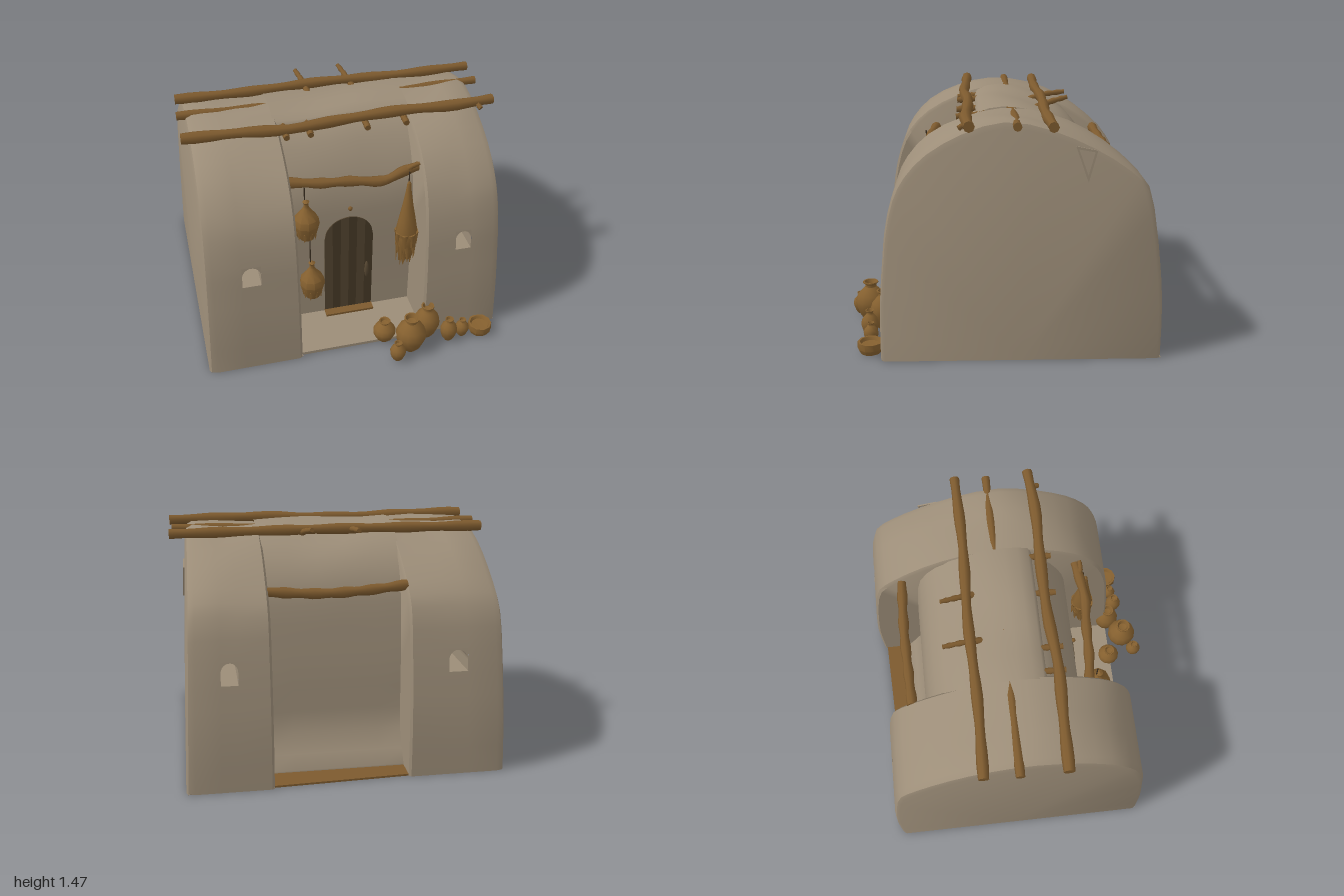
import * as THREE from 'three';
import { toCreasedNormals } from 'three/addons/utils/BufferGeometryUtils.js';

const mat = (name, color) => Object.assign(new THREE.MeshStandardMaterial({ color }), { name });
const V = (a) => new THREE.Vector3(...a);

export function createModel() {
  const root = new THREE.Group();
  const clay = mat('clay', 0x9c8d78);
  const wood = mat('wood', 0x7d5a2e);
  const pottery = mat('pottery', 0x85602f);
  const darkWood = mat('dark wood', 0x544530);
  const darkerWood = mat('darker wood', 0x463926);
  const cord = mat('cord', 0x3c3022);
  const add = (name, geo, m, pos = [0, 0, 0], parent = root) => {
    const mesh = new THREE.Mesh(geo, m);
    mesh.name = name;
    mesh.position.set(...pos);
    parent.add(mesh);
    return mesh;
  };

  // Skin from a [z, y] profile swept over x columns; each column is [x, profile scale]
  const CZ = -0.12;
  function loft(profile, cols, { flip = false, skip = () => false, lean = (x) => x } = {}) {
    const curve = new THREE.CatmullRomCurve3(profile.map(([z, y]) => new THREE.Vector3(0, y, z)), false, 'centripetal');
    const rows = (profile.length - 1) * 2;
    const pos = [], idx = [];
    for (let i = 0; i <= rows; i++) {
      const p = curve.getPoint(i / rows);
      cols.forEach(([x, s]) => {
        const bump = p.y > 1 ? 0.008 * Math.sin(x * 9 + p.z * 7) : 0;
        pos.push(lean(x, p.y * s), Math.max(0, (p.y + bump) * s), CZ + (p.z - CZ) * s);
      });
    }
    const n = cols.length;
    for (let i = 0; i < rows; i++) for (let j = 0; j < n - 1; j++) {
      if (skip(Math.floor(i / 2), j)) continue;
      const a = i * n + j, b = a + 1, d = a + n, c = d + 1;
      idx.push(...(flip ? [a, c, b, a, d, c] : [a, b, c, a, c, d]));
    }
    const g = new THREE.BufferGeometry();
    g.setAttribute('position', new THREE.Float32BufferAttribute(pos, 3));
    g.setIndex(idx);
    return toCreasedNormals(g, 0.65);
  }

  // Side wings, each with a small arched window running right through
  const wingProfile = [[0.72, 0], [0.715, 0.35], [0.69, 0.65], [0.675, 0.79], [0.63, 0.99], [0.56, 1.13], [0.43, 1.27],
    [0.22, 1.385], [-0.02, 1.44], [-0.3, 1.395], [-0.54, 1.3], [-0.745, 1.165], [-0.86, 1.04], [-0.915, 0.79],
    [-0.935, 0.65], [-0.965, 0.34], [-0.965, 0]];
  function wing(name, inner, outer, w0, w1, shift) {
    const d = Math.sign(outer - inner);
    const group = new THREE.Group();
    group.name = name;
    root.add(group);
    const lean = (x, y) => x - d * 0.04 * y * (x - inner) / (outer - inner);
    const prof = wingProfile.map(([z, y]) => [z + shift, y]);
    const cols = [[inner, 0], [inner, 0.985], [inner + d * 0.015, 1], [w0, 1], [w1, 1],
      [outer - d * 0.05, 1], [outer - d * 0.012, 0.988], [outer, 0.965], [outer, 0]];
    add(name + 'Shell', loft(prof, cols, { flip: d < 0, lean, skip: (i, j) => j === 3 && (i === 2 || i === 13) }), clay, [0, 0, 0], group);

    // Window surround and tunnel
    const a = Math.min(w0, w1), b = Math.max(w0, w1), m = (a + b) / 2, r = (b - a) / 2 - 0.002;
    const s = new THREE.Shape([[a, 0.65], [b, 0.65], [b, 0.79], [a, 0.79]].map((p) => new THREE.Vector2(...p)));
    const hole = new THREE.Path();
    hole.moveTo(m - r, 0.655);
    hole.lineTo(m - r, 0.785 - r);
    hole.absarc(m, 0.785 - r, r, Math.PI, 0, true);
    hole.lineTo(m + r, 0.655);
    s.holes.push(hole);
    const g = new THREE.ExtrudeGeometry(s, { depth: 1, bevelEnabled: false, curveSegments: 8 });
    const p = g.attributes.position;
    for (let i = 0; i < p.count; i++) {
      const y = p.getY(i), t = (y - 0.65) / 0.14;
      const z = p.getZ(i) > 0.5 ? 0.69 - 0.015 * t : -0.935 + 0.02 * t;
      p.setXYZ(i, lean(p.getX(i), y), y, z + shift);
    }
    g.computeVertexNormals();
    add(name + 'Window', g, clay, [0, 0, 0], group);
  }
  wing('rightWing', -0.395, -1, -0.64, -0.765, 0.04);
  wing('leftWing', 0.43, 0.95, 0.635, 0.745, 0);

  // Recessed middle of the house, with a lip where the roof ends
  const middle = [[0.38, 0], [0.38, 0.4], [0.38, 0.84], [0.35, 1.02], [0.27, 1.2], [0.16, 1.34], [0.11, 1.375], [0.14, 1.39],
    [0.12, 1.42], [-0.03, 1.45], [-0.28, 1.395], [-0.47, 1.3], [-0.58, 1.14], [-0.62, 0.9], [-0.65, 0.5], [-0.66, 0.22], [-0.78, 0.02], [-0.78, 0]];
  add('middleHouse', loft(middle, [-0.42, -0.25, -0.08, 0.1, 0.28, 0.45].map((x) => [x, 1])), clay);

  // Floors
  add('frontLedge', new THREE.BoxGeometry(0.84, 0.02, 0.4), clay, [0.015, 0.01, 0.535]);
  const under = new THREE.Shape([[-0.99, -0.75], [-0.39, -0.75], [-0.39, -0.7], [0.43, -0.7], [0.43, -0.71], [0.94, -0.71],
    [0.94, 0.96], [0.43, 0.96], [0.43, 0.77], [-0.39, 0.77], [-0.39, 0.91], [-0.99, 0.91]].map((p) => new THREE.Vector2(...p)));
  add('underside', new THREE.ExtrudeGeometry(under, { depth: 0.006, bevelEnabled: false }).rotateX(-Math.PI / 2), clay);
  const strip = new THREE.Shape([[-0.4, 0.77], [0.44, 0.77], [0.44, 0.945], [-0.4, 0.91]].map((p) => new THREE.Vector2(...p)));
  add('backSill', new THREE.ExtrudeGeometry(strip, { depth: 0.012, bevelEnabled: false }).rotateX(-Math.PI / 2), wood);

  // Triangular mark high on the left wall
  const tri = new THREE.Shape([[0.425, 1.295], [0.55, 1.27], [0.5, 1.085]].map((p) => new THREE.Vector2(...p)));
  tri.holes.push(new THREE.Path([[0.442, 1.277], [0.535, 1.26], [0.498, 1.125]].map((p) => new THREE.Vector2(...p))));
  const triGeo = new THREE.ExtrudeGeometry(tri, { depth: 0.009, bevelEnabled: false }).rotateY(Math.PI / 2);
  add('wallMark', triGeo, clay, [0.953, 0, 0]).rotation.z = 0;
  const tp = triGeo.attributes.position;
  for (let i = 0; i < tp.count; i++) tp.setX(i, tp.getX(i) - 0.04 * tp.getY(i));

  // Uneven logs with closed ends
  function log(name, pts, r, taper = 0) {
    const g = new THREE.Group();
    g.name = name;
    root.add(g);
    const curve = new THREE.CatmullRomCurve3(pts.map(V));
    const n = 24, tube = new THREE.TubeGeometry(curve, n, r, 8);
    const p = tube.attributes.position, v = new THREE.Vector3();
    const size = (i) => (1 + 0.12 * Math.sin(i * 1.3)) * (1 - taper * i / n);
    for (let k = 0; k < p.count; k++) {
      const i = Math.floor(k / 9), c = curve.getPointAt(i / n);
      v.fromBufferAttribute(p, k).sub(c).multiplyScalar(size(i)).add(c);
      p.setXYZ(k, v.x, v.y, v.z);
    }
    add(name + 'Bark', tube, wood, [0, 0, 0], g);
    for (const t of [0, 1]) {
      const dir = curve.getTangentAt(t).multiplyScalar(t ? 1 : -1);
      const cap = add(name + 'End', new THREE.CircleGeometry(r * size(t * n), 8), wood, curve.getPointAt(t).toArray(), g);
      cap.quaternion.setFromUnitVectors(new THREE.Vector3(0, 0, 1), dir);
    }
  }
  log('frontRoofLog', [[-0.99, 1.425, 0.195], [-0.6, 1.42, 0.205], [-0.35, 1.41, 0.215], [0, 1.415, 0.19], [0.4, 1.43, 0.19], [0.7, 1.425, 0.2], [0.99, 1.425, 0.18]], 0.034);
  log('backRoofLog', [[-0.98, 1.42, -0.295], [-0.5, 1.42, -0.285], [0, 1.425, -0.295], [0.5, 1.42, -0.28], [0.99, 1.42, -0.29]], 0.032);
  log('ridgeLog', [[-0.99, 1.42, -0.085], [0, 1.405, -0.085], [0.975, 1.42, -0.09]], 0.027);
  log('frontHangingLog', [[-0.41, 1.16, 0.41], [-0.2, 1.14, 0.44], [0, 1.13, 0.45], [0.2, 1.115, 0.47], [0.33, 1.15, 0.45], [0.45, 1.165, 0.43]], 0.031);
  log('backHangingLog', [[-0.41, 1.15, -0.69], [-0.2, 1.13, -0.7], [0.1, 1.12, -0.71], [0.45, 1.14, -0.7]], 0.031);
  log('hangingLogTwig', [[0.34, 1.15, 0.45], [0.38, 1.185, 0.46], [0.43, 1.2, 0.46]], 0.018, 0.3);
  log('sideTwig', [[0.88, 1.42, 0.2], [0.895, 1.4, 0.24]], 0.016);
  log('rightBranch', [[-0.12, 1.37, -0.17], [-0.135, 1.42, -0.3], [-0.16, 1.44, -0.46]], 0.022, 0.3);
  log('leftBranch', [[0.19, 1.37, -0.2], [0.16, 1.42, -0.33], [0.13, 1.45, -0.45]], 0.024, 0.4);
  for (const x of [-0.36, -0.21, 0.15, 0.4]) log('rafterEnd', [[x, 1.39, 0.08], [x, 1.375, 0.26]], 0.02);

  // Arched door of vertical planks
  const doorL = -0.16, doorW = 0.325, planks = 6, rad = doorW / 2, mid = doorL + rad;
  const top = (x) => 0.64 + Math.sqrt(Math.max(0, rad * rad - (x - mid) ** 2));
  for (let i = 0; i < planks; i++) {
    const s = new THREE.Shape(), a = doorL + doorW * i / planks, b = a + doorW / planks;
    s.moveTo(a, 0.03);
    s.lineTo(b, 0.03);
    for (let k = 0; k <= 5; k++) s.lineTo(b + (a - b) * k / 5, top(b + (a - b) * k / 5));
    add('doorPlank', new THREE.ExtrudeGeometry(s, { depth: 0.008, bevelEnabled: false }), i % 2 ? darkerWood : darkWood, [0, 0, 0.38]);
  }
  add('doorSill', new THREE.BoxGeometry(0.33, 0.02, 0.07), wood, [mid, 0.025, 0.41]);
  add('doorHandle', new THREE.SphereGeometry(0.02, 8, 6).scale(0.8, 3.4, 1), darkWood, [0.125, 0.35, 0.395]);
  add('wallPeg', new THREE.SphereGeometry(0.015, 8, 6), wood, [0.01, 0.87, 0.385]);

  // Turned shapes from [radius, y] points
  const lathe = (pts, sides) => toCreasedNormals(new THREE.LatheGeometry(pts.map((p) => new THREE.Vector2(...p)), sides), 0.75);

  // Pots: x, z, radius, height
  const potProfile = [[0, 0], [0.45, 0], [0.75, 0.16], [0.97, 0.38], [1, 0.52], [0.85, 0.68], [0.5, 0.82], [0.36, 0.87],
    [0.36, 0.93], [0.5, 0.97], [0.5, 1], [0.4, 1], [0.28, 0.9], [0, 0.87]];
  for (const [x, z, r, h] of [[0.165, 0.72, 0.075, 0.165], [0.2, 0.915, 0.052, 0.145], [0.31, 0.835, 0.1, 0.265],
    [0.45, 0.74, 0.085, 0.255], [0.58, 0.815, 0.056, 0.175], [0.68, 0.8, 0.046, 0.135]]) {
    add('pot', lathe(potProfile.map(([a, b]) => [a * r, b * h]), 12), pottery, [x, 0.002, z]);
  }
  add('bowl', lathe([[0, 0], [0.065, 0], [0.08, 0.03], [0.077, 0.07], [0.065, 0.07], [0.055, 0.05], [0, 0.045]], 10), pottery, [0.81, 0.002, 0.79]);

  // Hanging bundles with ragged leafy skirts: profile, then leaf ring height, radius, length, count
  function bundle(name, at, pts, rings) {
    const g = new THREE.Group();
    g.name = name;
    g.position.set(...at);
    root.add(g);
    add(name + 'Body', lathe(pts, 9), pottery, [0, 0, 0], g);
    for (const [y, r, len, count] of rings) for (let i = 0; i < count; i++) {
      const a = (i + y * 5) / count * Math.PI * 2, l = len * (0.85 + 0.3 * Math.abs(Math.sin(i * 2.3)));
      const leaf = new THREE.ConeGeometry(0.026, l, 4).scale(1, 1, 0.4).rotateX(Math.PI);
      add(name + 'Leaf', leaf, pottery, [Math.sin(a) * r, y - l / 2, Math.cos(a) * r], g).rotation.y = a;
    }
  }
  const bag = [[0, 0.02], [0.05, 0.015], [0.062, 0.04], [0.083, 0.12], [0.075, 0.165], [0.04, 0.21], [0.018, 0.245], [0.014, 0.27], [0.022, 0.285], [0, 0.3]];
  bundle('upperBag', [-0.3, 0.775, 0.5], bag, [[0.08, 0.06, 0.07, 9]]);
  bundle('lowerBag', [-0.27, 0.285, 0.5], bag, [[0.08, 0.06, 0.07, 9]]);
  bundle('longBundle', [0.355, 0.45, 0.5], [[0, 0.04], [0.045, 0.06], [0.07, 0.17], [0.075, 0.24], [0.055, 0.36], [0.035, 0.47], [0.018, 0.58], [0.012, 0.64], [0, 0.66]],
    [[0.27, 0.068, 0.13, 8], [0.18, 0.06, 0.14, 8], [0.1, 0.04, 0.1, 5]]);

  // Cords
  for (const [x, y0, y1, z] of [[-0.305, 1.06, 1.15, 0.48], [-0.28, 0.57, 0.8, 0.5], [0.36, 1.08, 1.16, 0.48]]) {
    add('cord', new THREE.CylinderGeometry(0.004, 0.004, y1 - y0, 5), cord, [x, (y0 + y1) / 2, z]);
  }
  return root;
}
